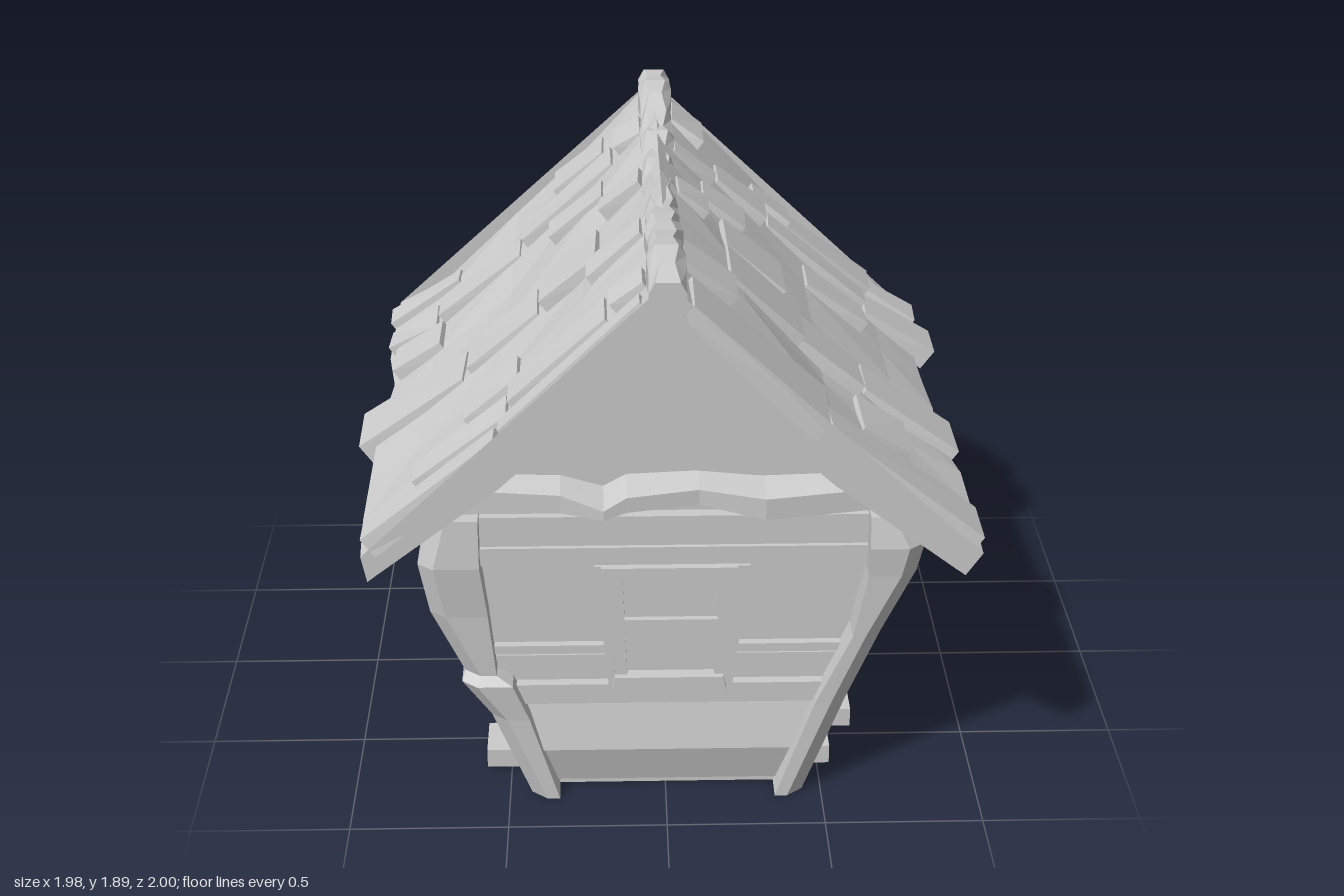
import * as THREE from 'three';

const material = new THREE.MeshStandardMaterial({ color: 0xcccccc, flatShading: true, side: THREE.DoubleSide });

let seed = 11;
const wobble = (a) => {
  seed = (seed * 16807) % 2147483647;
  return (seed / 2147483647 - 0.5) * 2 * a;
};

// Closed solid through rings of equal point count, turned outward by its signed volume
function loft(name, rings) {
  const n = rings[0].length, tris = [];
  const tri = (a, b, c) => tris.push([a, b, c]);
  for (let r = 0; r + 1 < rings.length; r++) {
    for (let i = 0; i < n; i++) {
      const j = (i + 1) % n, A = rings[r], B = rings[r + 1];
      tri(A[i], A[j], B[j]);
      tri(A[i], B[j], B[i]);
    }
  }
  const first = rings[0], last = rings[rings.length - 1];
  for (let i = 1; i + 1 < n; i++) {
    tri(first[0], first[i + 1], first[i]);
    tri(last[0], last[i], last[i + 1]);
  }
  let volume = 0;
  for (const [a, b, c] of tris) {
    volume += new THREE.Vector3(...a).dot(new THREE.Vector3(...b).cross(new THREE.Vector3(...c)));
  }
  const pos = tris.flatMap((t) => (volume < 0 ? [t[0], t[2], t[1]] : t)).flat();
  const geo = new THREE.BufferGeometry();
  geo.setAttribute('position', new THREE.Float32BufferAttribute(pos, 3));
  geo.computeVertexNormals();
  const mesh = new THREE.Mesh(geo, material);
  mesh.name = name;
  return mesh;
}

// Piecewise linear curve, extended past its ends
function curve(points) {
  return (t) => {
    let i = 0;
    while (i < points.length - 2 && t > points[i + 1][0]) i++;
    const [a, b] = points[i], [c, d] = points[i + 1];
    return b + ((t - a) / (c - a)) * (d - b);
  };
}
const wallX = curve([[0, 0.37], [0.16, 0.42], [0.33, 0.51], [0.95, 0.68]]);
const roofY = curve([[0, 1.82], [0.5, 1.31], [0.77, 1.075], [0.93, 0.96]]);
const underY = curve([[0, 1.67], [0.5, 1.19], [0.9, 0.87]]);
const ridgeY = curve([[-1, 1.85], [-0.8, 1.86], [-0.6, 1.82], [-0.3, 1.8], [-0.1, 1.78], [0.15, 1.79],
  [0.35, 1.83], [0.6, 1.85], [0.8, 1.87], [1, 1.85]]);

// Wall frames: u along the wall, v up, d outward
const FRONT = 0.76;
const walls = {
  front: (u, v, d) => [u, v, FRONT + d],
  back: (u, v, d) => [-u, v, -FRONT - d],
  right: (u, v, d) => [wallX(v) + d, v, u],
  left: (u, v, d) => [-wallX(v) - d, v, u],
};
function panel(name, wall, u0, u1, v0, v1, d, top0 = u0, top1 = u1, dTop = d) {
  const ring = (a, b, v, out) => [wall(a, v, -0.03), wall(b, v, -0.03), wall(b, v, out), wall(a, v, out)];
  return loft(name, [ring(u0, u1, v0, d), ring(top0, top1, v1, dTop)]);
}

function windowFrame(wall) {
  const g = new THREE.Group();
  g.name = 'window';
  const bars = [
    [-0.16, -0.12, 0.42, 0.82, 0.065, -0.18, -0.135], [0.15, 0.19, 0.42, 0.82, 0.065, 0.17, 0.2],
    [-0.18, -0.16, 0.4, 0.83, 0.05, -0.22, -0.18], [0.19, 0.21, 0.4, 0.83, 0.05, 0.2, 0.26],
    [-0.17, 0.19, 0.4, 0.45, 0.085, -0.16, 0.18], [-0.19, 0.21, 0.79, 0.84, 0.08, -0.2, 0.22],
    [-0.13, 0.17, 0.605, 0.645, 0.06, -0.13, 0.17],
  ];
  for (const [a, b, v0, v1, d, c, e] of bars) g.add(panel('windowBar', wall, a, b, v0, v1, d, c, e));
  g.add(panel('windowPane', wall, -0.15, 0.18, 0.42, 0.82, 0.04));
  return g;
}

// Shingle lying on the slope, thicker at its lower end
function shingle(side, x0, x1, z0, z1) {
  const ring = (x, h) => {
    const p = (z, up) => [side * (x + up * 0.6), roofY(x) + up * 0.75, z];
    const a = z0 + wobble(0.015), b = z1 + wobble(0.015);
    return [p(a, -0.04), p(b, -0.04), p(b - 0.01, h + wobble(0.006)), p(a + 0.01, h + wobble(0.006))];
  };
  return loft('shingle', [ring(x0, 0.016), ring(x1 - 0.025, 0.04)]);
}

export function createModel() {
  const house = new THREE.Group();
  house.name = 'cottage';

  // Solid body with gables
  const outline = [[0, 1.65], [0.5, 1.18], [0.68, 0.95], [0.51, 0.33], [0.42, 0.16], [0.37, 0],
    [-0.37, 0], [-0.42, 0.16], [-0.51, 0.33], [-0.68, 0.95], [-0.5, 1.18]];
  house.add(loft('body', [-FRONT, FRONT].map((z) => outline.map(([x, y]) => [x, y, z]))));

  // Wall boards and rails: bottom, top, depth, depth at the top
  const boards = {
    front: [[0.02, 0.155, 0.01, 0.045], [0.165, 0.325, 0.06, 0.03], [0.335, 0.405, 0.05], [0.41, 0.5, 0.025],
      [0.51, 0.54, 0.035], [0.55, 0.83, 0.025], [0.84, 0.9, 0.055], [0.9, 1, 0.04]],
    back: [[0.02, 0.155, 0.01, 0.045], [0.165, 0.325, 0.06, 0.03], [0.335, 0.405, 0.05], [0.84, 0.9, 0.055],
      [0.9, 1, 0.04]],
    right: [[0.16, 0.325, 0.005, 0.02], [0.335, 0.4, 0.025], [0.85, 0.92, 0.025]],
    left: [[0.16, 0.325, 0.005, 0.02], [0.335, 0.4, 0.025], [0.5, 0.54, 0.02], [0.85, 0.92, 0.025]],
  };
  for (const [key, list] of Object.entries(boards)) {
    const end = key === 'front' || key === 'back';
    for (const [v0, v1, d, dTop = d] of list) {
      const a = end ? wallX(v0) - 0.02 : 0.74, b = end ? wallX(v1) - 0.02 : 0.74;
      house.add(panel('wallBoard', walls[key], -a, a, v0, v1, d, -b, b, dTop));
    }
  }
  for (const key of ['right', 'back', 'left']) {
    const gap = key === 'back' ? 0.19 : 0.24;
    for (const u of [-gap, gap]) {
      house.add(panel('stud', walls[key], u - 0.035, u + 0.035, 0.4, 0.85, key === 'back' ? 0.04 : 0.02));
    }
  }
  house.add(windowFrame(walls.front), windowFrame(walls.left));

  // Crooked corner posts: rows of height, inner x, outer x, inner z, outer z
  const straight = [[0, 0.35, 0.44, 0.7, 0.85], [0.35, 0.47, 0.57, 0.69, 0.85], [0.6, 0.58, 0.67, 0.69, 0.86],
    [0.82, 0.62, 0.77, 0.69, 0.87], [0.92, 0.62, 0.79, 0.7, 0.88], [1.02, 0.62, 0.74, 0.7, 0.86]];
  const kinked = [[0, 0.34, 0.43, 0.7, 0.85], [0.3, 0.43, 0.55, 0.69, 0.85], [0.43, 0.48, 0.64, 0.7, 0.86],
    [0.46, 0.53, 0.63, 0.71, 0.84], [0.68, 0.55, 0.73, 0.69, 0.85], [0.86, 0.57, 0.76, 0.68, 0.87],
    [1.02, 0.57, 0.72, 0.7, 0.86]];
  for (const [sx, sz, rows] of [[1, 1, straight], [-1, 1, kinked], [1, -1, kinked], [-1, -1, straight]]) {
    house.add(loft('cornerPost', rows.map(([y, a, b, c, d]) => [
      [sx * a, y, sz * c], [sx * b, y, sz * c], [sx * b, y, sz * (d - 0.04)],
      [sx * (b - 0.05), y, sz * d], [sx * a, y, sz * d]])));
  }

  // Rough tie beam across each gable: x, bottom, top, depth
  const beam = [[-0.62, 1.01, 1.14, 0.07], [-0.32, 1.02, 1.13, 0.09], [-0.19, 1.01, 1.09, 0.12],
    [-0.12, 1.03, 1.13, 0.11], [0.1, 1.04, 1.14, 0.08], [0.3, 1.0, 1.12, 0.11], [0.62, 1.01, 1.13, 0.07]];
  for (const wall of [walls.front, walls.back]) {
    house.add(loft('tieBeam', beam.map(([u, a, b, d]) => [
      wall(u, a, -0.02), wall(u, a + 0.02, d), wall(u, b - 0.03, d), wall(u, b, -0.02)])));
  }

  // Uneven roof slopes and the barge boards below their ends
  const xs = [0, 0.25, 0.5, 0.77, 0.93];
  for (const s of [1, -1]) {
    const rings = [];
    for (let i = 0; i <= 8; i++) {
      const z = -0.965 + i * 0.24, eave = wobble(0.02);
      const top = xs.map((x, k) => [s * (x + (k === 4 ? eave : 0)), roofY(x) + wobble(0.016), z]);
      const low = [0.9, 0.5, 0].map((x) => [s * x, underY(x), z]);
      rings.push([...top, ...low]);
    }
    house.add(loft(s > 0 ? 'leftRoof' : 'rightRoof', rings));
    for (const e of [1, -1]) {
      for (const [drop, z] of [[0.04, 0.93], [0.075, 0.86]]) {
        house.add(loft('bargeBoard', [0, 0.5, 0.88].map((x) => {
          const high = underY(x) + 0.02, low = underY(x) - drop * (1 - x * 0.8);
          return [[s * x, high, e * 0.74], [s * x, high, e * z], [s * x, low, e * z], [s * x, low, e * 0.74]];
        })));
      }
    }
  }

  // Shingles: upper x, lower x, z range
  const rightShingles = [
    [0.18, 0.36, -0.88, -0.67], [0.7, 0.97, -0.86, -0.72], [0.77, 0.95, -0.65, -0.47], [0.47, 0.77, -0.64, -0.46],
    [0.15, 0.47, -0.66, -0.48], [0.05, 0.15, -0.7, -0.5], [0.74, 0.92, -0.45, -0.23], [0.18, 0.37, -0.4, -0.25],
    [0.06, 0.2, -0.19, -0.04], [0.63, 0.99, 0, 0.25], [0.39, 0.63, 0.02, 0.24], [0.2, 0.39, -0.01, 0.26],
    [0.06, 0.24, 0.28, 0.43], [0.44, 0.62, 0.44, 0.64], [0.47, 0.77, 0.66, 0.81], [0.17, 0.47, 0.65, 0.83],
    [0.06, 0.17, 0.68, 0.8], [0.5, 0.92, 0.84, 0.95], [0.07, 0.5, 0.85, 0.95]];
  const leftShingles = [
    [0.05, 0.17, -0.85, -0.64], [0.34, 0.48, -0.83, -0.67], [0.46, 0.78, -0.86, -0.68], [0.73, 0.95, -0.84, -0.7],
    [0.2, 0.38, -0.64, -0.45], [0.38, 0.74, -0.62, -0.48], [0.73, 0.99, -0.65, -0.46], [0.05, 0.2, -0.43, -0.33],
    [0.5, 0.72, -0.44, -0.25], [0.14, 0.29, -0.29, -0.13], [0.05, 0.16, -0.09, 0.09], [0.2, 0.4, -0.1, 0.17],
    [0.2, 0.45, 0.15, 0.42], [0.42, 0.64, 0.17, 0.42], [0.64, 0.96, 0.12, 0.36], [0.05, 0.22, 0.45, 0.66],
    [0.6, 0.76, 0.42, 0.68], [0.07, 0.48, 0.71, 0.95], [0.48, 0.96, 0.72, 0.94]];
  for (const t of rightShingles) house.add(shingle(-1, ...t));
  for (const t of leftShingles) house.add(shingle(1, ...t));

  // Chipped ridge beam
  const ridge = [];
  for (let i = 0; i <= 20; i++) {
    const z = -1 + i * 0.1, inner = i % 20 ? 1 : 0;
    const y = ridgeY(z) + inner * (0.006 + wobble(0.014)), w = 0.055 + inner * wobble(0.006);
    const t = i % 2 ? 0.022 : 0.036;
    ridge.push([[-w, 1.62, z], [w, 1.62, z], [w, y - 0.035, z], [t, y, z], [-t, y, z], [-w, y - 0.035, z]]);
  }
  house.add(loft('ridgeBeam', ridge));

  // Floor planks sticking out at both sides
  for (const [z, w, a, b] of [[0.385, 0.15, -0.5, 0.63], [0.595, 0.16, -0.58, 0.54],
    [-0.385, 0.14, -0.58, 0.63], [-0.51, 0.05, -0.5, 0.53], [-0.6, 0.1, -0.54, 0.58]]) {
    const plank = new THREE.Mesh(new THREE.BoxGeometry(b - a, 0.065, w), material);
    plank.position.set((a + b) / 2, 0.0375, z);
    plank.name = 'floorPlank';
    house.add(plank);
  }
  return house;
}
